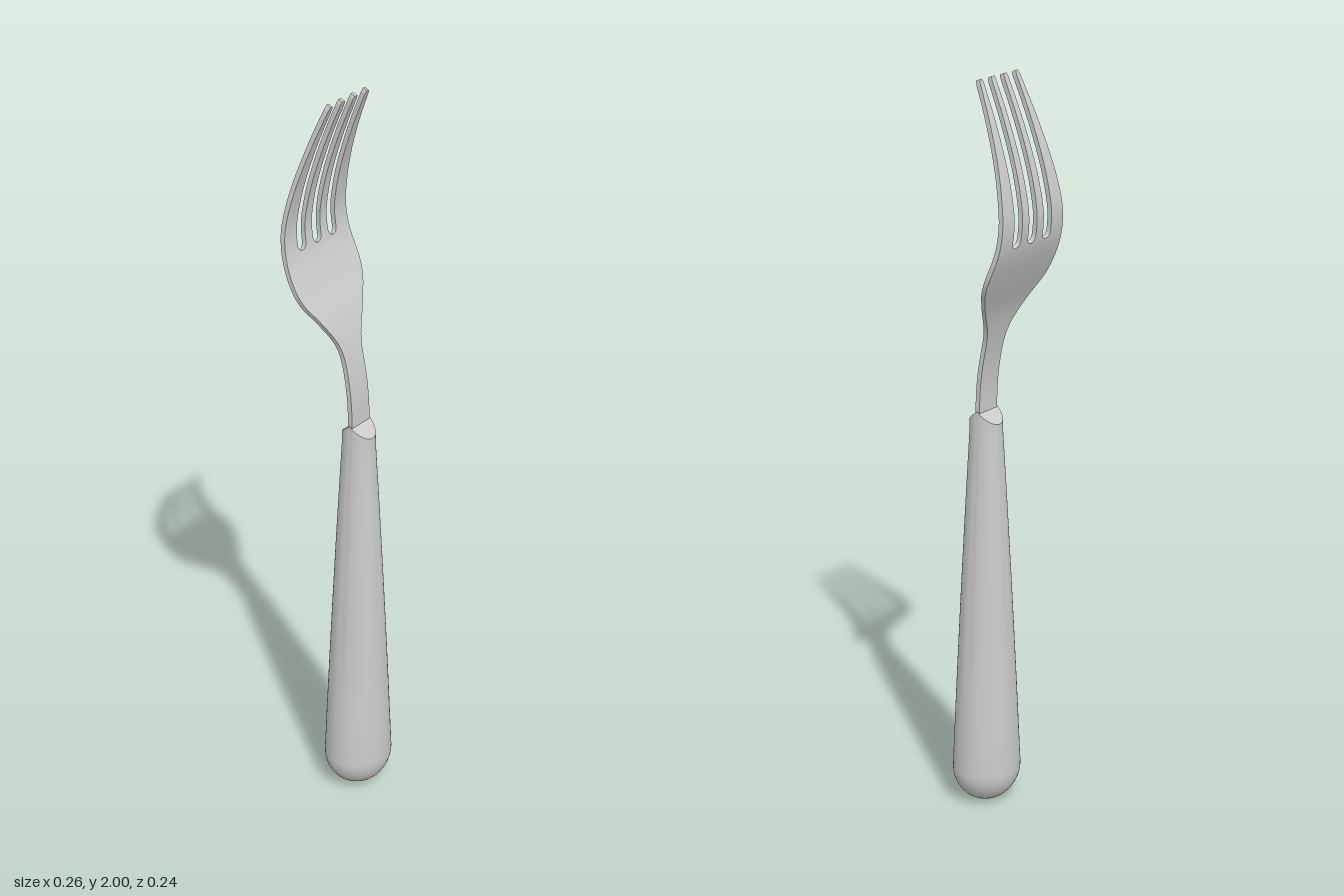
import * as THREE from 'three';
import { toCreasedNormals } from 'three/addons/utils/BufferGeometryUtils.js';

const HANDLE_Z = 0.03;
const SLOT_Y = 1.59, SLOT_R = 0.016, TIP_Y = 1.997, HALF_THICK = 0.0065;

// smooth interpolation through [y, value] pairs
function interp(table, y) {
  const n = table.length - 1;
  let i = 0;
  while (i < n - 1 && y > table[i + 1][0]) i++;
  const slope = (k) => {
    const a = table[Math.max(k - 1, 0)], b = table[Math.min(k + 1, n)];
    return (b[1] - a[1]) / (b[0] - a[0]);
  };
  const [y0, v0] = table[i], [y1, v1] = table[i + 1];
  const h = y1 - y0, t = (y - y0) / h, t2 = t * t, t3 = t2 * t;
  return (2 * t3 - 3 * t2 + 1) * v0 + (t3 - 2 * t2 + t) * h * slope(i)
    + (3 * t2 - 2 * t3) * v1 + (t3 - t2) * h * slope(i + 1);
}

// side curve of the metal and half-width of its outline
const bend = [[1.08, 0.031], [1.2, 0.026], [1.3, 0.009], [1.4, -0.022], [1.5, -0.07],
  [1.58, -0.103], [1.65, -0.113], [1.72, -0.104], [1.8, -0.083], [1.9, -0.047], [2, -0.004]];
const outline = [[1.08, 0.037], [1.25, 0.036], [1.32, 0.038], [1.36, 0.05], [1.425, 0.09],
  [1.47, 0.119], [1.515, 0.13], [1.6, 0.126], [1.7, 0.117], [1.85, 0.096], [2, 0.077]];
const halfWidth = (y) => interp(outline, y);

// bent point at side offset x, height y, thickness direction s (+1 front, -1 back)
function bentPoint(x, y, s) {
  const d = (interp(bend, y + 0.004) - interp(bend, y - 0.004)) / 0.008;
  const k = (s * HALF_THICK) / Math.hypot(1, d);
  return [x, y - d * k, interp(bend, y) + k];
}

// closed strip of rectangular sections between two edge functions
function addStrip(out, rows, left, right, capEnd) {
  const quad = (a, b, c, d) => out.push(...a, ...b, ...c, ...a, ...c, ...d);
  const sections = rows.map((y) => {
    const l = left(y), r = right(y);
    return [bentPoint(l, y, 1), bentPoint(r, y, 1), bentPoint(r, y, -1), bentPoint(l, y, -1)];
  });
  for (let i = 0; i < sections.length - 1; i++) {
    const a = sections[i], b = sections[i + 1];
    for (let k = 0; k < 4; k++) {
      const m = (k + 1) % 4;
      quad(a[k], a[m], b[m], b[k]);
    }
  }
  if (capEnd) quad(...sections[sections.length - 1]);
}

function forkHead() {
  const positions = [];

  // neck and palm
  const bodyRows = Array.from({ length: 45 }, (_, i) => 1.08 + ((SLOT_Y - 1.08) * i) / 44);
  addStrip(positions, bodyRows, (y) => -halfWidth(y), halfWidth, false);

  // four tines, with rows packed around the rounded slot ends
  const tineRows = [];
  for (let i = 0; i <= 8; i++) tineRows.push(SLOT_Y + SLOT_R * (1 - Math.cos((i * Math.PI) / 16)));
  for (let i = 1; i <= 30; i++) {
    tineRows.push(SLOT_Y + SLOT_R + ((TIP_Y - 0.01 - SLOT_Y - SLOT_R) * i) / 30);
  }
  tineRows.push(TIP_Y - 0.004, TIP_Y);

  const slotEdge = (index, side) => (y) => {
    const t = (y - SLOT_Y) / (2 - SLOT_Y);
    const u = Math.min((y - SLOT_Y) / SLOT_R, 1);
    return index * (0.061 - 0.013 * t) + side * SLOT_R * Math.sqrt(Math.max(0, 1 - (1 - u) ** 2));
  };
  for (let i = 0; i < 4; i++) {
    const left = i === 0 ? (y) => -halfWidth(y) : slotEdge(i - 2, 1);
    const right = i === 3 ? halfWidth : slotEdge(i - 1, -1);
    // slightly softened corners at the tip
    const inset = (y) => 0.003 * Math.max(0, (y - TIP_Y + 0.01) / 0.01) ** 2;
    addStrip(positions, tineRows, (y) => left(y) + inset(y), (y) => right(y) - inset(y), true);
  }

  const geometry = new THREE.BufferGeometry();
  geometry.setAttribute('position', new THREE.Float32BufferAttribute(positions, 3));
  return toCreasedNormals(geometry, 0.6);
}

function handleGeometry() {
  // domed butt, straight taper, closed top
  const profile = [];
  for (let i = 0; i <= 12; i++) {
    const a = (i * Math.PI) / 24;
    profile.push(new THREE.Vector2(0.098 * Math.sin(a), 0.1 * (1 - Math.cos(a))));
  }
  for (let i = 1; i <= 8; i++) {
    profile.push(new THREE.Vector2(0.098 - (0.057 * i) / 8, 0.1 + (0.96 * i) / 8));
  }
  profile.push(new THREE.Vector2(0.04, 1.1), new THREE.Vector2(0, 1.1));

  const geometry = new THREE.LatheGeometry(profile, 48);
  const p = geometry.attributes.position;
  for (let i = 0; i < p.count; i++) {
    const y = p.getY(i);
    // oval section, wide at the butt and deeper at the neck
    const z = p.getZ(i) * (0.9 + 0.22 * THREE.MathUtils.clamp((y - 0.1) / 1, 0, 1));
    p.setZ(i, z);
    // the top is cut to a ridge by two sloping planes
    if (y > 1.09) p.setY(i, 1.125 - 0.78 * Math.abs(z));
  }
  return toCreasedNormals(geometry, 0.6);
}

export function createModel() {
  const group = new THREE.Group();
  group.name = 'fork';
  const material = new THREE.MeshStandardMaterial({ color: 0xcccccc });

  const handle = new THREE.Mesh(handleGeometry(), material);
  handle.name = 'handle';
  handle.position.z = HANDLE_Z;

  const head = new THREE.Mesh(forkHead(), material);
  head.name = 'neckAndTines';

  group.add(handle, head);
  return group;
}
